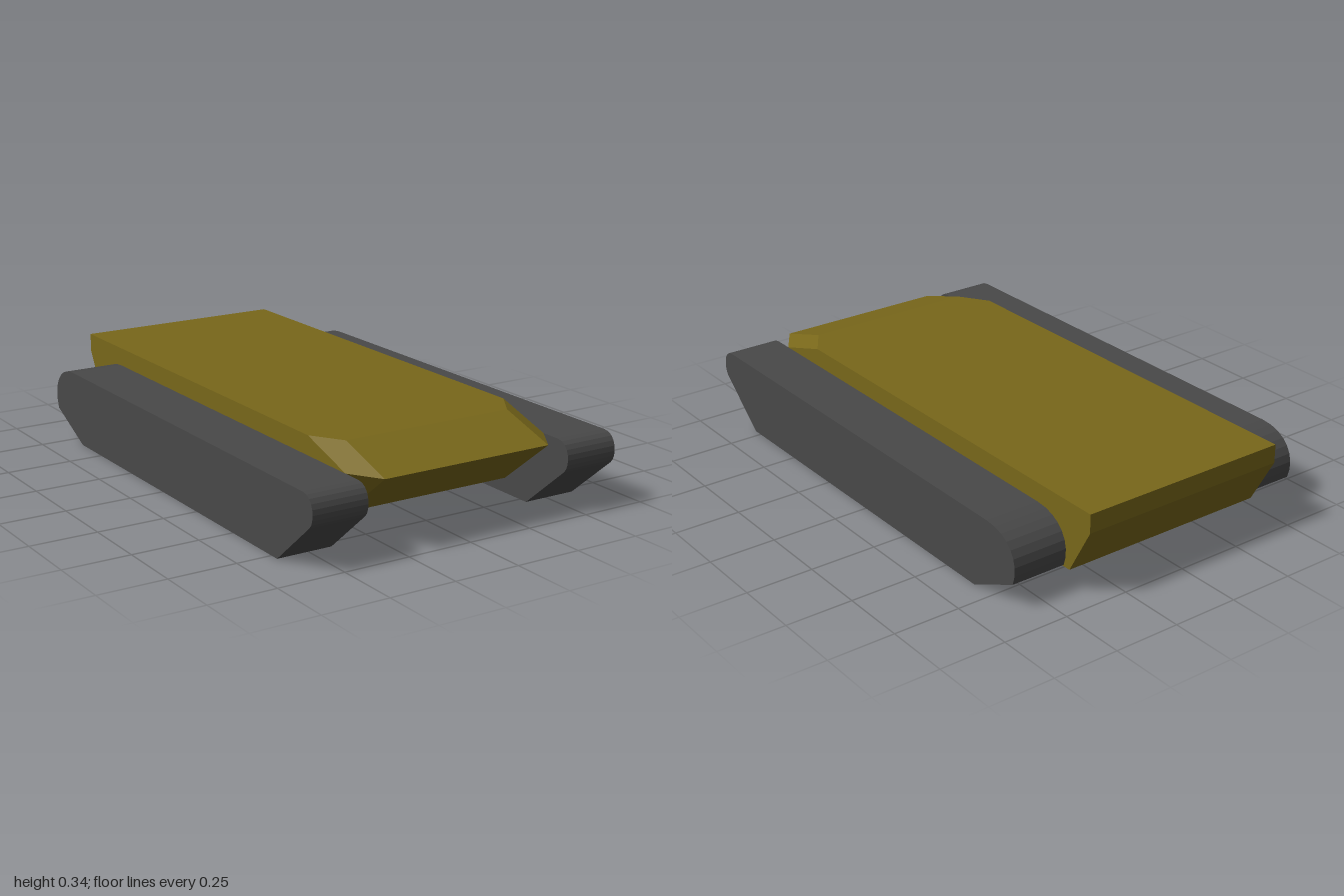
import * as THREE from 'three';
import { ConvexGeometry } from 'three/addons/geometries/ConvexGeometry.js';

const INNER = 0.41, OUTER = 0.62;

// Hull: three stacked outlines with clipped front corners
function hullGeometry() {
  const levels = [ // height, rear z, front z
    { y: 0.095, rear: -0.9, front: 0.755 },
    { y: 0.275, rear: -1, front: 0.98 },
    { y: 0.345, rear: -1, front: 0.755 },
  ];
  const points = [];
  for (const { y, rear, front } of levels) {
    for (const side of [-1, 1]) {
      points.push(
        new THREE.Vector3(side * INNER, y, rear),
        new THREE.Vector3(side * INNER, y, front - 0.115),
        new THREE.Vector3(side * 0.335, y, front),
      );
    }
  }
  return new ConvexGeometry(points);
}

// Track: side profile (z, y) with rounded ends, extruded across its width
function trackGeometry() {
  const profile = new THREE.Shape();
  profile.moveTo(-0.66, 0);
  profile.lineTo(0.785, 0);
  profile.lineTo(0.98, 0.165);
  profile.bezierCurveTo(1.01, 0.19, 1.005, 0.275, 0.94, 0.275);
  profile.lineTo(-0.73, 0.275);
  profile.bezierCurveTo(-0.85, 0.275, -0.905, 0.19, -0.87, 0.1);
  profile.closePath();
  const geometry = new THREE.ExtrudeGeometry(profile, {
    depth: OUTER - INNER, bevelEnabled: false, curveSegments: 8,
  });
  geometry.rotateY(-Math.PI / 2);
  geometry.translate((OUTER - INNER) / 2, 0, 0);
  return geometry;
}

export function createModel() {
  const model = new THREE.Group();
  model.name = 'trackedChassis';

  const hullMaterial = new THREE.MeshStandardMaterial({ color: 0x78671a, flatShading: true });
  const trackMaterial = new THREE.MeshStandardMaterial({ color: 0x484848, flatShading: true });

  const hull = new THREE.Mesh(hullGeometry(), hullMaterial);
  hull.name = 'hull';
  model.add(hull);

  // One track on each side
  const geometry = trackGeometry();
  for (const side of [-1, 1]) {
    const track = new THREE.Mesh(geometry, trackMaterial);
    track.name = side > 0 ? 'leftTrack' : 'rightTrack';
    track.position.x = side * (INNER + OUTER) / 2;
    model.add(track);
  }
  return model;
}
